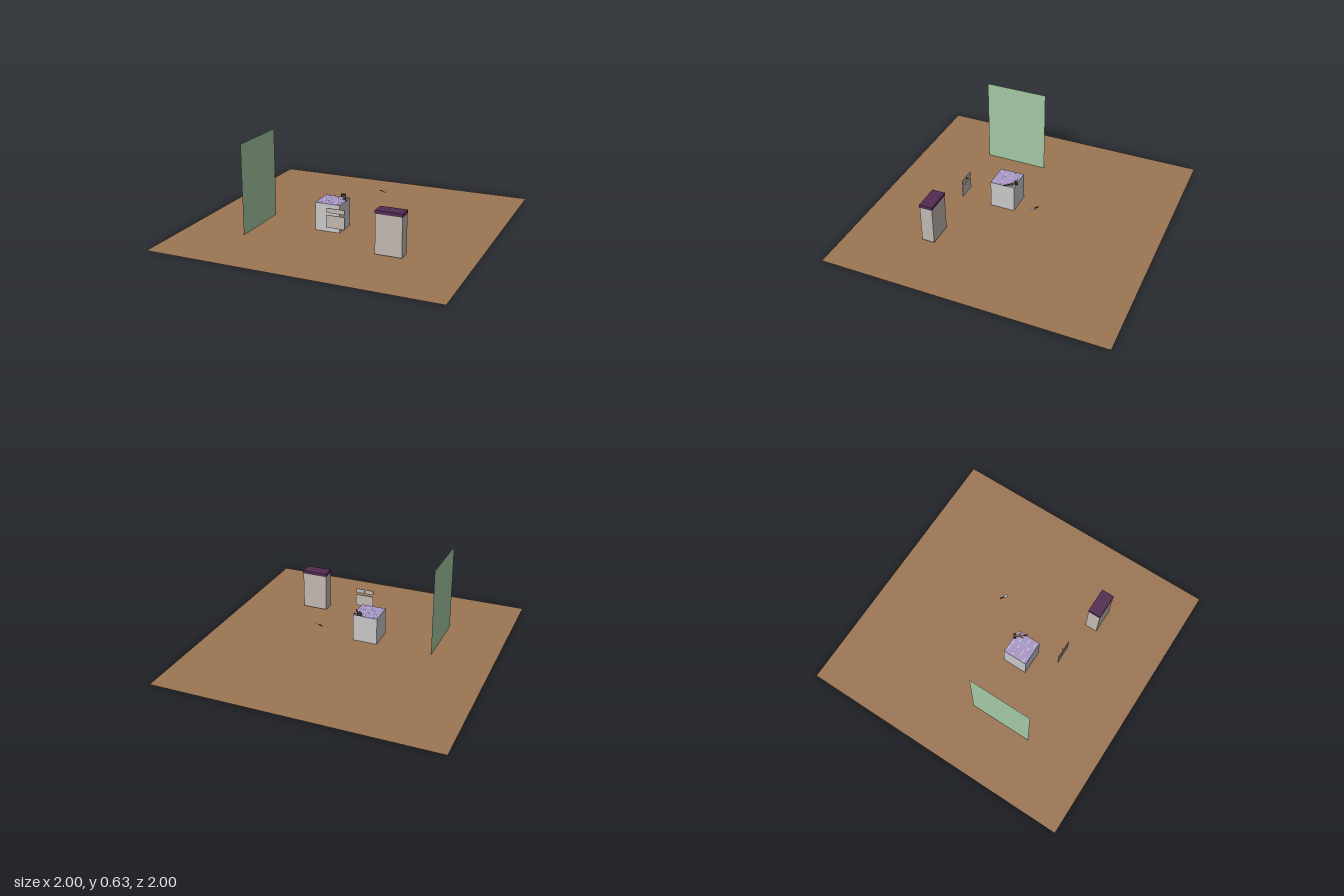
import * as THREE from 'three';

const mat = (name, color, side = THREE.FrontSide) => {
  const m = new THREE.MeshStandardMaterial({ color, side });
  m.name = name;
  return m;
};

export function createModel() {
  const root = new THREE.Group();
  root.name = 'room';
  const earth = mat('earth brown', 0x9b7653, THREE.DoubleSide);
  const green = mat('soft green', 0xa4c8a4, THREE.DoubleSide);
  const grey = mat('light grey', 0xc8c8c8);
  const stone = mat('warm grey', 0xc2b8b1);
  const plum = mat('plum', 0x522c52);
  const lilac = mat('lilac', 0xa898c8);
  const pale = mat('pale streak', 0xe2daee);
  const dark = mat('dark brown', 0x46372a);
  const tan = mat('tan', 0x8a7350);

  const add = (parent, name, geometry, material, x, y, z) => {
    const m = new THREE.Mesh(geometry, material);
    m.name = name;
    m.position.set(x, y, z);
    parent.add(m);
    return m;
  };
  // box given by its limits on each axis
  const block = (parent, name, material, [x0, x1], [y0, y1], [z0, z1]) =>
    add(parent, name, new THREE.BoxGeometry(x1 - x0, y1 - y0, z1 - z0), material,
      (x0 + x1) / 2, (y0 + y1) / 2, (z0 + z1) / 2);
  // flat bar between two points seen from above
  const bar = (parent, name, material, [x0, z0], [x1, z1], y, width, height) => {
    const length = Math.hypot(x1 - x0, z1 - z0);
    const m = add(parent, name, new THREE.BoxGeometry(length, height, width), material,
      (x0 + x1) / 2, y, (z0 + z1) / 2);
    m.rotation.y = -Math.atan2(z1 - z0, x1 - x0);
    return m;
  };

  // floor and standing wall panel
  add(root, 'floor', new THREE.PlaneGeometry(2, 2).rotateX(-Math.PI / 2), earth, 0, 0, 0);
  add(root, 'wallPanel', new THREE.PlaneGeometry(0.455, 0.63).rotateY(Math.PI / 2), green,
    -0.568, 0.315, 0.283);

  // cabinet with a streaked worktop
  const cabinet = new THREE.Group();
  cabinet.name = 'cabinet';
  root.add(cabinet);
  block(cabinet, 'cabinetBody', grey, [-0.17, 0.01], [0.002, 0.198], [0.052, 0.23]);
  block(cabinet, 'worktop', lilac, [-0.17, 0.01], [0.198, 0.2], [0.052, 0.23]);
  const streaks = [[-0.13, 0.066], [-0.085, 0.072], [-0.14, 0.115], [-0.09, 0.12], [-0.045, 0.105],
    [-0.115, 0.165], [-0.07, 0.185], [-0.15, 0.205], [-0.025, 0.16], [-0.02, 0.21]];
  streaks.forEach(([x, z], i) => {
    const l = 0.012 + 0.004 * (i % 3);
    bar(cabinet, 'streak', pale, [x - l, z - 0.002], [x + l, z + 0.003], 0.2003, 0.004, 0.0008);
  });

  // loose drawer front and door in front of the cabinet
  const fronts = new THREE.Group();
  fronts.name = 'cabinetFronts';
  root.add(fronts);
  block(fronts, 'drawerFront', stone, [-0.01, 0.122], [0.202, 0.234], [0.394, 0.399]);
  block(fronts, 'doorFront', stone, [-0.01, 0.122], [0.1, 0.186], [0.394, 0.399]);
  add(fronts, 'drawerKnob', new THREE.CylinderGeometry(0.004, 0.004, 0.012, 10).rotateX(Math.PI / 2),
    dark, 0.056, 0.219, 0.39);

  // tall cupboard with a plum top
  const cupboard = new THREE.Group();
  cupboard.name = 'cupboard';
  root.add(cupboard);
  block(cupboard, 'cupboardBody', stone, [0.37, 0.552], [0.009, 0.28], [0.402, 0.492]);
  block(cupboard, 'cupboardTop', plum, [0.368, 0.554], [0.28, 0.302], [0.4, 0.494]);

  // small tool lying on the worktop
  const tool = new THREE.Group();
  tool.name = 'tool';
  root.add(tool);
  bar(tool, 'toolHead', dark, [-0.054, 0.064], [-0.026, 0.046], 0.212, 0.018, 0.018);
  bar(tool, 'toolNeck', tan, [-0.04, 0.056], [-0.012, 0.09], 0.208, 0.014, 0.01);
  bar(tool, 'toolHandle', dark, [-0.02, 0.08], [0.014, 0.128], 0.204, 0.007, 0.006);
  bar(tool, 'toolProng', tan, [-0.018, 0.084], [-0.018, 0.112], 0.203, 0.009, 0.005);
  bar(tool, 'toolGuard', tan, [-0.014, 0.078], [0.01, 0.07], 0.203, 0.008, 0.005);

  // small floating blade with a dark grip
  const blade = new THREE.Group();
  blade.name = 'blade';
  root.add(blade);
  bar(blade, 'bladeGrip', dark, [0.14, -0.184], [0.168, -0.168], 0.2, 0.008, 0.004);
  bar(blade, 'bladeTip', grey, [0.163, -0.17], [0.191, -0.154], 0.2, 0.016, 0.003);

  return root;
}
